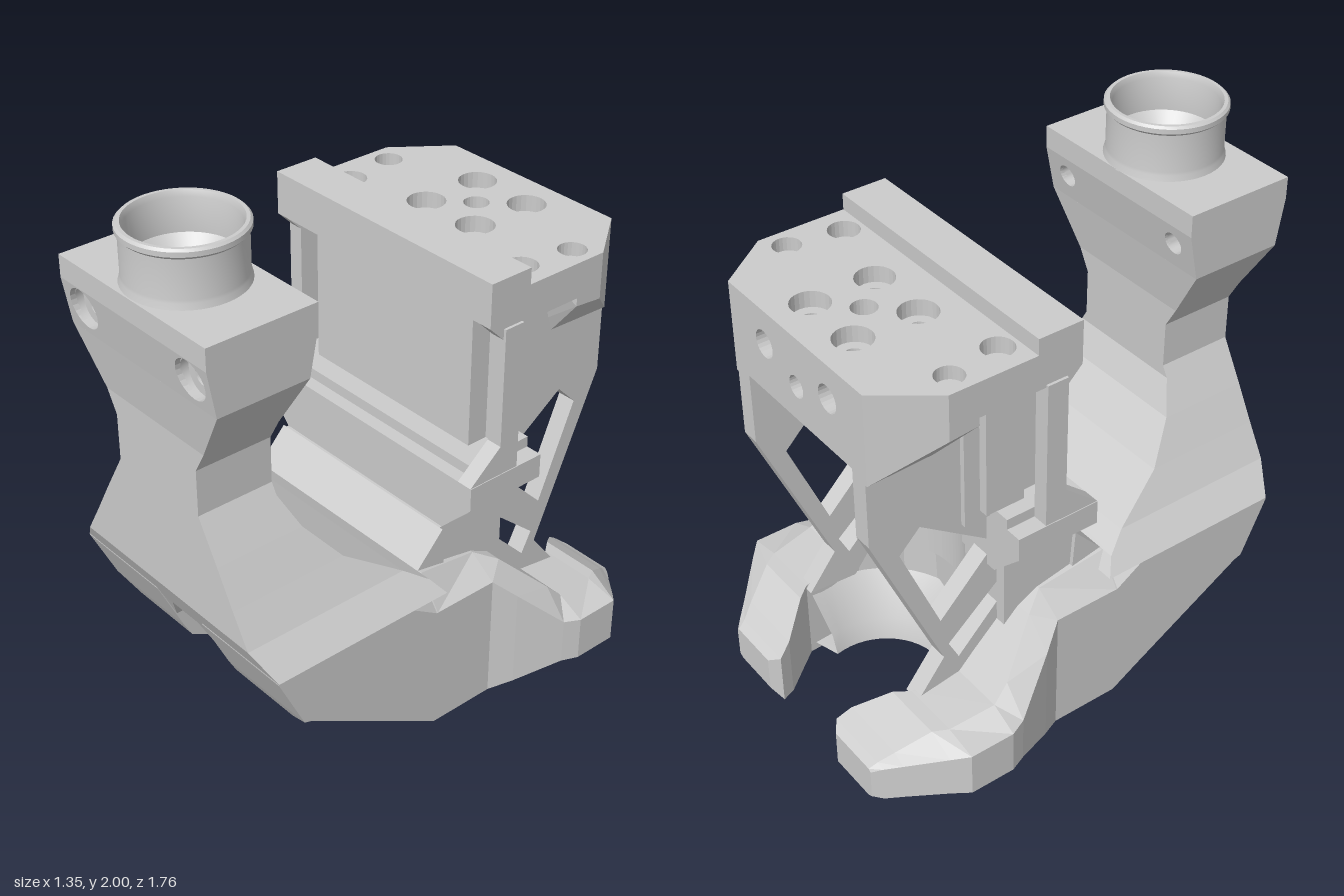
import * as THREE from 'three';
import { toCreasedNormals } from 'three/addons/utils/BufferGeometryUtils.js';
import { ConvexGeometry } from 'three/addons/geometries/ConvexGeometry.js';

const flat = new THREE.MeshStandardMaterial({ color: 0xcccccc, flatShading: true, side: THREE.DoubleSide });
const smooth = new THREE.MeshStandardMaterial({ color: 0xcccccc, side: THREE.DoubleSide });
const AXIS_Z = -0.54; // vertical axis of the round chamber

const toShape = (pts, holes = []) => {
  const shape = new THREE.Shape(pts.map(p => new THREE.Vector2(...p)));
  holes.forEach(h => shape.holes.push(new THREE.Path(h.map(p => new THREE.Vector2(...p)))));
  return shape;
};
const circle = (cx, cy, r, n = 24) => Array.from({ length: n }, (_, i) => {
  const a = i / n * Math.PI * 2;
  return [cx + r * Math.cos(a), cy + r * Math.sin(a)];
});
const extrude = (shape, depth) => new THREE.ExtrudeGeometry(shape, { depth, bevelEnabled: false });

// profile of [radius, y] points turned about y, with sharp edges kept
const turn = (pts, n, start, sweep) =>
  toCreasedNormals(new THREE.LatheGeometry(pts.map(p => new THREE.Vector2(...p)), n, start, sweep), 0.6);

// side profile of [z, y] points swept from x0 to x1
const sideSweep = (pts, x0, x1, holes) =>
  extrude(toShape(pts, holes), x1 - x0).rotateY(-Math.PI / 2).translate(x1, 0, 0);

// plan outline of [x, z] points swept from y0 to y1
const slab = (pts, y0, y1, holes = []) => {
  const flip = l => l.map(([x, z]) => [x, -z]);
  return extrude(toShape(flip(pts), holes.map(flip)), y1 - y0).rotateX(-Math.PI / 2).translate(0, y0, 0);
};

// moves every vertex by a rule
function bend(geo, rule) {
  const p = geo.attributes.position, v = new THREE.Vector3();
  for (let i = 0; i < p.count; i++) {
    rule(v.fromBufferAttribute(p, i));
    p.setXYZ(i, v.x, v.y, v.z);
  }
  geo.computeVertexNormals();
  return geo;
}

// skin over a list of rings of [x, y, z] points
function loft(rings, caps, flip) {
  const out = [], n = rings[0].length;
  const tri = (a, b, c) => out.push(...a, ...(flip ? c : b), ...(flip ? b : c));
  for (let i = 0; i + 1 < rings.length; i++) for (let j = 0; j < n; j++) {
    const k = (j + 1) % n, r = rings[i], s = rings[i + 1];
    tri(r[j], r[k], s[k]);
    tri(r[j], s[k], s[j]);
  }
  if (caps) for (let j = 1; j + 1 < n; j++) {
    const e = rings[rings.length - 1];
    tri(rings[0][0], rings[0][j + 1], rings[0][j]);
    tri(e[0], e[j], e[j + 1]);
  }
  const g = new THREE.BufferGeometry();
  g.setAttribute('position', new THREE.Float32BufferAttribute(out, 3));
  g.computeVertexNormals();
  return g;
}

// block outline with the round chamber cut into its back
function chamber(w, zFront, zBack, r = 0.3) {
  const a0 = Math.asin((zBack - AXIS_Z) / r), pts = [[-w, zFront], [w, zFront], [w, zBack]];
  for (let i = 0; i <= 20; i++) {
    const a = a0 + (Math.PI - 2 * a0) * i / 20;
    pts.push([r * Math.cos(a), AXIS_Z + r * Math.sin(a)]);
  }
  return [...pts, [-w, zBack]];
}

export function createModel() {
  const model = new THREE.Group();
  const add = (name, geo, mat = flat) => {
    const m = new THREE.Mesh(geo, mat);
    m.name = name;
    model.add(m);
  };

  // inlet tube with a rolled lip and a funnel inside
  const tube = [[0.206, 1.797], [0.2, 1.82], [0.198, 1.83], [0.198, 1.965], [0.208, 1.975], [0.208, 1.992],
    [0.2, 2], [0.188, 2], [0.18, 1.98], [0.18, 1.86], [0.13, 1.8], [0.13, 1.74]];
  add('inletTube', turn(tube, 48).translate(0, 0, 0.67), smooth);

  // duct head: top plate, rim, and front and back plates with screw holes
  add('ductTop', slab([[-0.375, 0.88], [0.375, 0.88], [0.375, 0.465], [-0.375, 0.465]], 1.785, 1.8, [circle(0, 0.67, 0.13, 32)]));
  const level = ([y, front, back, w]) => [[w, y, front], [w, y, back], [-w, y, back], [-w, y, front]];
  add('ductRim', loft([[1.8, 0.88, 0.465, 0.375], [1.72, 0.88, 0.465, 0.375]].map(level), false, true));
  const plate = r => extrude(toShape([[-0.375, 1.55], [0.375, 1.55], [0.375, 1.72], [-0.375, 1.72]],
    [-1, 1].map(s => circle(s * 0.275, 1.645, r))), 0.02);
  add('headFront', bend(plate(0.072).translate(0, 0, 0.86), v => { v.z -= (1.72 - v.y) * 0.1765; }));
  add('headBack', bend(plate(0.04).translate(0, 0, 0.465), v => { v.z += (1.72 - v.y) * 0.206; }));
  for (const s of [-1, 1]) {
    add('headSide', sideSweep([[0.88, 1.72], [0.85, 1.55], [0.5, 1.55], [0.465, 1.72]], s * 0.365 - 0.01, s * 0.365 + 0.01));
    const bore = [[0.072, 0.85], [0.072, 0.82], [0.04, 0.82], [0.04, 0.49]];
    add('screwBore', turn(bore, 24).rotateX(Math.PI / 2).translate(s * 0.275, 1.645, 0), smooth);
  }

  // waisted duct: [y, front z, back z, half width]
  add('duct', loft([[1.55, 0.85, 0.5, 0.375], [1.35, 0.82, 0.53, 0.255], [1.27, 0.82, 0.53, 0.21], [1.1, 0.82, 0.53, 0.21],
    [1.06, 0.82, 0.53, 0.233], [0.95, 0.82, 0.48, 0.297], [0.82, 0.82, 0.37, 0.37], [0.7, 0.82, 0.17, 0.44],
    [0.65, 0.795, 0.09, 0.485], [0.6, 0.77, 0.05, 0.53]].map(level), false, true));

  // base sides running back into the arms:
  // [z, inner x, bottom, bottom x, lower edge, half width, upper edge, top x, top]
  const base = [
    [0.77, 0.125, 0.595, 0.53, 0.595, 0.53, 0.6, 0.53, 0.6],
    [0.67, 0.125, 0.385, 0.53, 0.39, 0.53, 0.6, 0.53, 0.6],
    [0.64, 0.125, 0.33, 0.43, 0.375, 0.53, 0.6, 0.53, 0.6],
    [0.2, 0.125, 0.085, 0.41, 0.115, 0.525, 0.6, 0.5, 0.62],
    [0.09, 0.125, 0.03, 0.41, 0.05, 0.525, 0.53, 0.44, 0.65],
    [0.085, 0.125, 0, 0.41, 0.05, 0.525, 0.53, 0.44, 0.65],
    [-0.17, 0.125, 0, 0.41, 0.05, 0.525, 0.53, 0.42, 0.6],
    [-0.25, 0.28, 0, 0.41, 0.075, 0.57, 0.455, 0.47, 0.56],
    [-0.41, 0.34, 0, 0.41, 0.13, 0.65, 0.305, 0.56, 0.41],
    [-0.47, 0.34, 0, 0.41, 0.13, 0.675, 0.3, 0.57, 0.35],
    [-0.64, 0.33, 0, 0.41, 0.13, 0.675, 0.3, 0.55, 0.325],
    [-0.69, 0.29, 0, 0.4, 0.115, 0.625, 0.275, 0.52, 0.32],
    [-0.8, 0.2, 0, 0.38, 0.07, 0.51, 0.215, 0.46, 0.24],
    [-0.85, 0.18, 0, 0.36, 0.05, 0.46, 0.19, 0.43, 0.2],
    [-0.88, 0.22, 0.045, 0.41, 0.055, 0.43, 0.17, 0.42, 0.18]];
  for (const s of [-1, 1]) {
    add('baseArm', loft(base.map(([z, xi, b, xb, lo, w, up, xt, t]) =>
      [[xi, b], [xb, b], [w, lo], [w, up], [xt, t], [xi, t]].map(([x, y]) => [s * x, y, z])), true, s > 0));
  }
  // base centre with the recess in its front
  add('baseCentre', sideSweep([[0.77, 0.6], [0.75, 0.56], [0.2, 0.27], [0.24, 0.09], [0.09, 0.03], [-0.2, 0.03],
    [-0.22, 0.55], [0, 0.65], [0.09, 0.65], [0.2, 0.6]], -0.126, 0.126));
  // sloped fillers that clip the upper corners of the recess
  for (const s of [-1, 1]) {
    add('recessCorner', extrude(toShape([[s * 0.126, 0.45], [s * 0.126, 0.57], [s * 0.07, 0.56]]), 0.2)
      .applyMatrix4(new THREE.Matrix4().set(1, 0, 0, 0, 0, 1, 0, 0, 0, 0.476, 1, 0.283, 0, 0, 0, 1)));
  }
  // sloped ring round the foot of the chamber, open at the back
  add('chamberFoot', turn([[0.36, 0.03], [0.23, 0.04], [0.25, 0.12], [0.35, 0.28]], 28, -1.8, 3.6).translate(0, 0, AXIS_Z), smooth);

  // neck joining the base and the mount
  add('neck', slab(chamber(0.41, -0.02, -0.31), 0.45, 0.77));
  add('neckRamp', sideSweep([[0.09, 0.5], [0.09, 0.65], [-0.02, 0.77], [-0.04, 0.5]], -0.425, 0.425));

  // mount: flared shelf and back wall with the chamber
  add('shelfFlare', bend(slab(chamber(0.54, -0.03, -0.35), 0.77, 0.9), v => {
    if (v.y < 0.8 && Math.abs(v.x) > 0.5) v.x = Math.sign(v.x) * 0.41;
  }));
  add('shelf', slab(chamber(0.543, -0.03, -0.35), 0.9, 0.99));
  add('sill', slab(chamber(0.48, -0.08, -0.35), 0.99, 1.03));
  add('chamberWall', slab(chamber(0.39, -0.16, -0.45), 0.99, 1.54));

  // top plate with through holes and blind holes
  const front = [[-0.53, -0.16], [0.53, -0.16], [0.53, -0.6]];
  const corners = [[-0.12, -0.66], [0.12, -0.66], [-0.12, -0.42], [0.12, -0.42]];
  const centreHole = circle(0, AXIS_Z, 0.045);
  add('topPlateLower', slab([...front, [0.44, -0.72], [-0.44, -0.72], [-0.53, -0.6]], 1.53, 1.6,
    [...corners.map(c => circle(...c, 0.033)), centreHole]));
  add('topPlateUpper', slab([...front, [0.38, -0.8], [-0.38, -0.8], [-0.53, -0.6]], 1.6, 1.66,
    [...corners.map(c => circle(...c, 0.068)), centreHole,
      ...[-1, 1].flatMap(s => [circle(s * 0.45, -0.54, 0.05), circle(s * 0.42, -0.34, 0.056)])]));
  add('topRidge', sideSweep([[-0.1, 1.72], [-0.1, 1.56], [-0.24, 1.56], [-0.27, 1.6], [-0.27, 1.72]], -0.53, 0.53));

  // back panel with screw holes
  add('backPanel', extrude(toShape([[-0.38, 1.34], [0.38, 1.34], [0.38, 1.6], [-0.38, 1.6]],
    [circle(-0.18, 1.53, 0.05), circle(0, 1.47, 0.04), circle(0.18, 1.53, 0.05)]), 0.08).translate(0, 0, -0.8));

  // side wall profile and the openings that leave slanted struts
  const wall = [[-0.38, 1.54], [-0.8, 1.54], [-0.8, 1.07], [-0.53, 0.45], [-0.64, 0.31], [-0.45, 0.3],
    [-0.28, 0.52], [-0.28, 0.86], [-0.34, 0.9], [-0.34, 1.0]];
  const openings = [[[-0.31, 0.85], [-0.61, 1.06], [-0.69, 0.98], [-0.54, 0.62]],
    [[-0.31, 0.67], [-0.31, 0.58], [-0.47, 0.42], [-0.51, 0.5]]];
  // paired parts: [name, profile, inner x, outer x, openings]
  const pairs = [
    ['sideStruts', wall, 0.3, 0.37, openings],
    ['wallCheek', [[-0.24, 1.03], [-0.24, 1.53], [-0.39, 1.53], [-0.39, 1.03]], 0.36, 0.425],
    ['post', [[-0.03, 0.99], [-0.16, 1.1], [-0.16, 1.54], [-0.24, 1.54], [-0.24, 0.99]], 0.48, 0.54],
    ['ridgeCorner', [[-0.1, 1.56], [-0.16, 1.56], [-0.16, 1.5]], 0.48, 0.53]];
  for (const s of [-1, 1]) {
    for (const [name, profile, a, b, holes] of pairs) {
      add(name, sideSweep(profile, Math.min(s * a, s * b), Math.max(s * a, s * b), holes));
    }
    // gusset sloping from the plate edge in to the side wall
    add('gusset', new ConvexGeometry([[0.3, 1.61, -0.49], [0.53, 1.61, -0.49], [0.53, 1.5, -0.49], [0.53, 1.49, -0.6],
      [0.53, 1.61, -0.6], [0.38, 1.61, -0.8], [0.38, 1.32, -0.8], [0.3, 1.61, -0.8], [0.3, 1.32, -0.8],
      [0.37, 1.32, -0.55], [0.3, 1.32, -0.55]].map(([x, y, z]) => new THREE.Vector3(s * x, y, z))));
  }
  return model;
}
